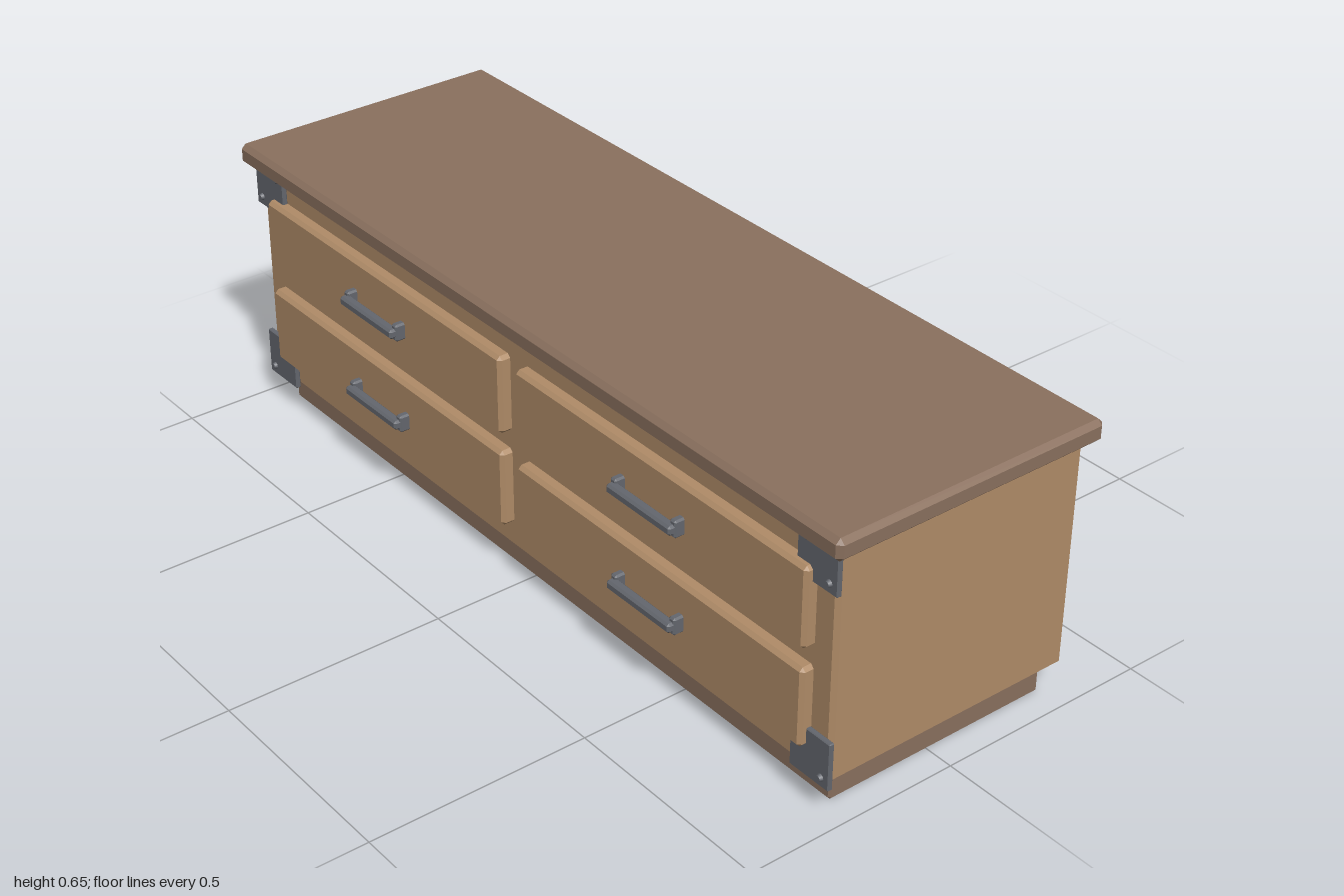
import * as THREE from 'three';
import { ConvexGeometry } from 'three/addons/geometries/ConvexGeometry.js';

const wood = new THREE.MeshStandardMaterial({ color: 0xb08c68 });
const darkWood = new THREE.MeshStandardMaterial({ color: 0x8a705e });
const iron = new THREE.MeshStandardMaterial({ color: 0x64676e });

// Box between two corners with every edge chamfered by b
function chamferBox(name, material, [x0, y0, z0], [x1, y1, z1], b) {
  const h = [(x1 - x0) / 2, (y1 - y0) / 2, (z1 - z0) / 2];
  const points = [];
  for (const sx of [-1, 1]) for (const sy of [-1, 1]) for (const sz of [-1, 1]) {
    for (let axis = 0; axis < 3; axis++) {
      const [x, y, z] = h.map((v, i) => (i === axis ? v : v - b));
      points.push(new THREE.Vector3(sx * x, sy * y, sz * z));
    }
  }
  const mesh = new THREE.Mesh(new ConvexGeometry(points), material);
  mesh.name = name;
  mesh.position.set((x0 + x1) / 2, (y0 + y1) / 2, (z0 + z1) / 2);
  return mesh;
}

// Two posts joined by a bar
function createHandle(x, y) {
  const handle = new THREE.Group();
  handle.name = 'handle';
  for (const s of [-1, 1]) {
    const px = x + s * 0.091;
    handle.add(chamferBox('handlePost', iron,
      [px - 0.009, y - 0.02, 0.305], [px + 0.009, y + 0.02, 0.334], 0.004));
  }
  handle.add(chamferBox('handleBar', iron,
    [x - 0.098, y - 0.011, 0.324], [x + 0.098, y + 0.011, 0.347], 0.005));
  return handle;
}

// Square iron plate with two rivets on its diagonal
function createCornerPlate(sx, y) {
  const plate = new THREE.Group();
  plate.name = 'cornerPlate';
  const x = sx * 0.92;
  plate.add(chamferBox('plate', iron,
    [x - 0.055, y - 0.055, 0.283], [x + 0.055, y + 0.055, 0.295], 0.002));
  for (const s of [-1, 1]) {
    const rivet = new THREE.Mesh(new THREE.CylinderGeometry(0.006, 0.009, 0.008, 8), iron);
    rivet.name = 'rivet';
    rivet.rotation.x = Math.PI / 2;
    rivet.position.set(x + s * sx * 0.033, y - s * 0.033, 0.298);
    plate.add(rivet);
  }
  return plate;
}

export function createModel() {
  const model = new THREE.Group();
  model.name = 'drawerChest';

  // Carcass
  model.add(chamferBox('plinth', darkWood, [-0.935, 0, -0.3], [0.935, 0.076, 0.252], 0.005));
  model.add(chamferBox('body', wood, [-0.965, 0.073, -0.33], [0.965, 0.603, 0.283], 0.009));
  model.add(chamferBox('top', darkWood, [-1, 0.6, -0.345], [1, 0.65, 0.318], 0.011));

  for (const s of [-1, 1]) {
    // Drawers, two per side
    for (const y of [0.226, 0.451]) {
      const x = s * 0.4675;
      const drawer = new THREE.Group();
      drawer.name = 'drawer';
      drawer.add(chamferBox('drawerFront', wood,
        [x - 0.442, y - 0.091, 0.275], [x + 0.442, y + 0.091, 0.311], 0.008));
      drawer.add(createHandle(x, y));
      model.add(drawer);
    }
    // Corner hardware, bottom and top
    for (const y of [0.123, 0.562]) model.add(createCornerPlate(s, y));
  }
  return model;
}
